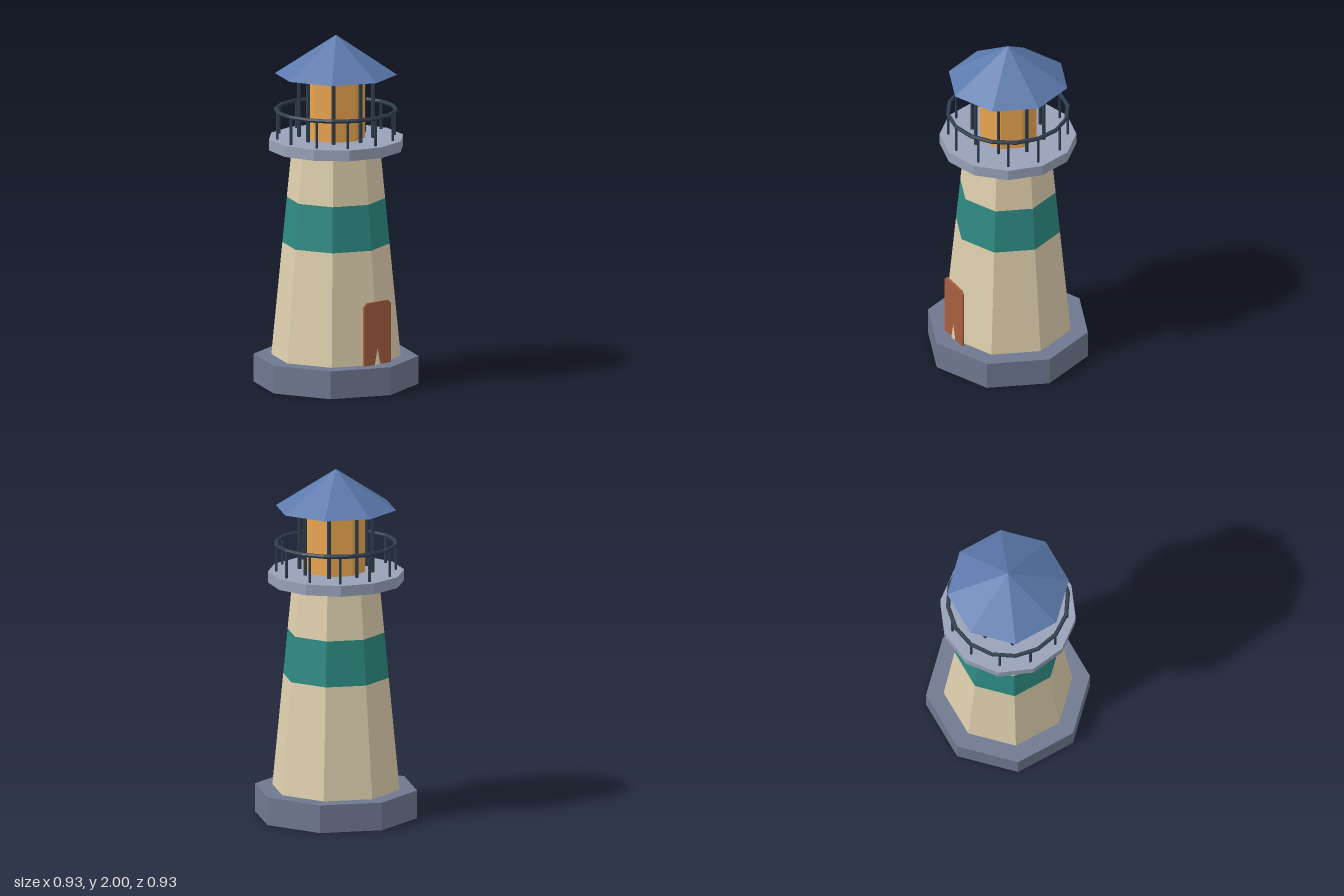
import * as THREE from 'three';

const mat = (color) => new THREE.MeshStandardMaterial({ color, flatShading: true });

export function createModel() {
  const model = new THREE.Group();
  const stone = mat(0x6f7890), cream = mat(0xdfd0ae), teal = mat(0x2d8a82), deck = mat(0x98a1b8);
  const amber = mat(0xeaa64f), blue = mat(0x5c7aad), iron = mat(0x2f3d4d), wood = mat(0xa85f3e);

  const add = (name, geometry, material, parent = model) => {
    const mesh = new THREE.Mesh(geometry, material);
    mesh.name = name;
    parent.add(mesh);
    return mesh;
  };
  // Faceted drum between two heights
  const drum = (name, rBottom, rTop, y0, y1, sides, material, parent) => {
    const mesh = add(name, new THREE.CylinderGeometry(rTop, rBottom, y1 - y0, sides), material, parent);
    mesh.position.y = (y0 + y1) / 2;
    return mesh;
  };
  // Ring of thin vertical posts
  const postRing = (name, count, ring, r, y0, y1) => {
    const group = new THREE.Group();
    group.name = name;
    for (let i = 0; i < count; i++) {
      const a = (i / count) * Math.PI * 2;
      const post = drum(name + i, r, r, y0, y1, 6, iron, group);
      post.position.x = Math.sin(a) * ring;
      post.position.z = Math.cos(a) * ring;
    }
    model.add(group);
  };

  drum('base', 0.465, 0.465, 0, 0.16, 8, stone);

  // Tapered tower with a flush coloured band
  const radiusAt = (y) => 0.365 - 0.115 * (y - 0.16) / 1.19;
  const section = (name, y0, y1, m) => drum(name, radiusAt(y0), radiusAt(y1), y0, y1, 8, m);
  section('towerLower', 0.16, 0.805, cream);
  section('towerBand', 0.805, 1.065, teal);
  section('towerUpper', 1.065, 1.35, cream);

  // Door with clipped top corners
  const s = new THREE.Shape([[-0.1, 0.16], [0.1, 0.16], [0.1, 0.5], [0.08, 0.52], [-0.08, 0.52], [-0.1, 0.5]]
    .map(([x, y]) => new THREE.Vector2(x, y)));
  add('door', new THREE.ExtrudeGeometry(s, { depth: 0.012, bevelEnabled: false }), wood).position.z = 0.344;

  // Gallery and railing
  drum('gallery', 0.385, 0.385, 1.35, 1.412, 12, deck);
  postRing('railingPost', 12, 0.337, 0.008, 1.412, 1.57);
  const rail = add('handrail', new THREE.TorusGeometry(0.34, 0.012, 6, 16), iron);
  rail.rotation.x = Math.PI / 2;
  rail.position.y = 1.57;

  // Lantern room and roof
  drum('lantern', 0.165, 0.165, 1.412, 1.775, 8, amber);
  postRing('lanternPost', 8, 0.209, 0.011, 1.412, 1.78);
  const roof = add('roof', new THREE.ConeGeometry(0.345, 0.225, 8), blue);
  roof.position.y = 1.8875;

  return model;
}
